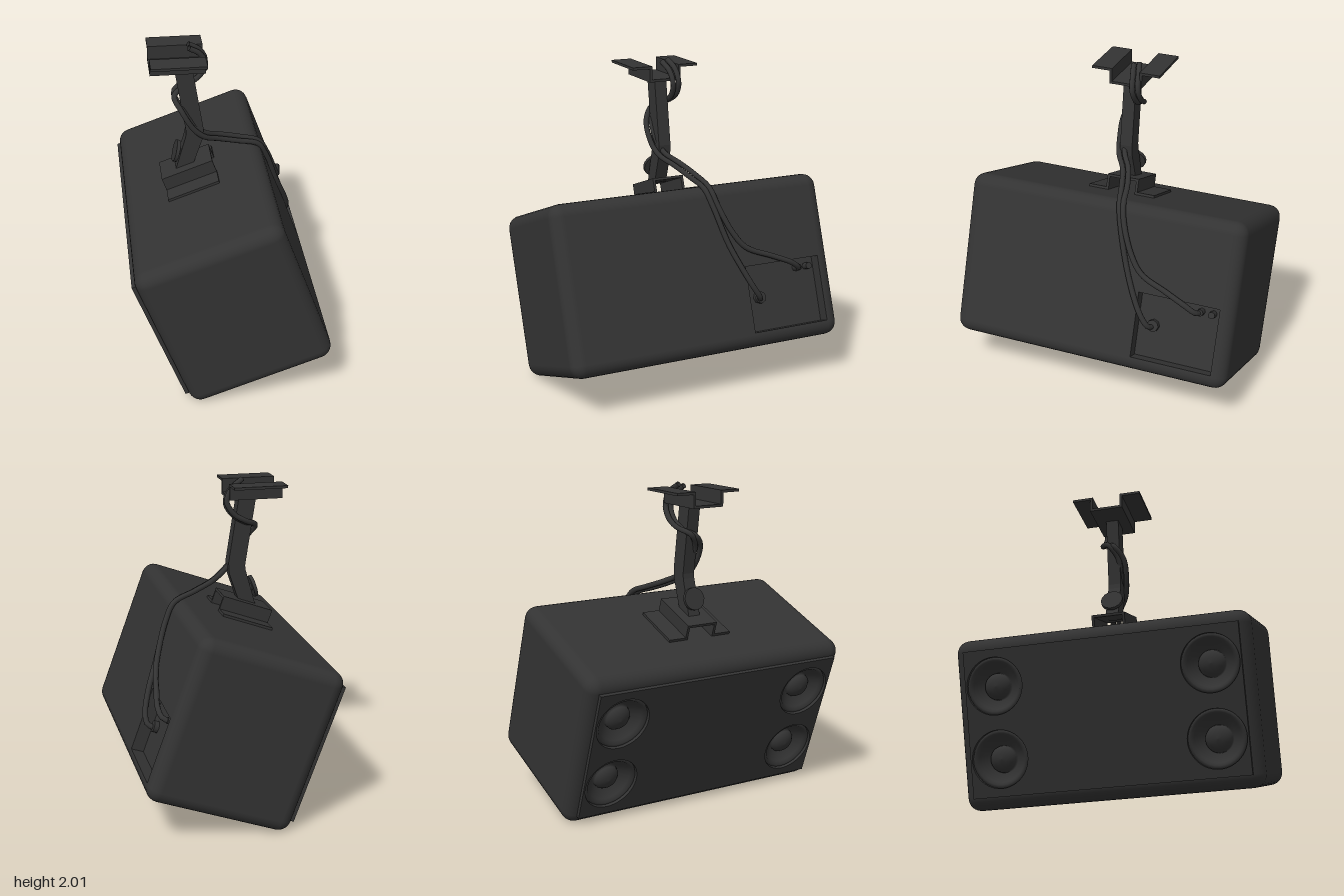
import * as THREE from 'three';
import { RoundedBoxGeometry } from 'three/addons/geometries/RoundedBoxGeometry.js';

const W = 0.93, H = 1.04, L = 1.82, R = 0.08;
const TILT = THREE.MathUtils.degToRad(20);
const black = new THREE.MeshStandardMaterial({ color: 0x333333, side: THREE.DoubleSide });

function add(parent, name, geometry, x = 0, y = 0, z = 0) {
  const mesh = new THREE.Mesh(geometry, black);
  mesh.name = name;
  mesh.position.set(x, y, z);
  parent.add(mesh);
  return mesh;
}

function rectangle(x0, y0, x1, y1, Type = THREE.Shape) {
  return new Type([[x0, y0], [x1, y0], [x1, y1], [x0, y1]].map(p => new THREE.Vector2(...p)));
}

// Rounded box left open on its flat +x and -x faces
function openRoundedBox() {
  const source = new RoundedBoxGeometry(W, H, L, 3, R);
  const p = source.attributes.position, n = source.attributes.normal;
  const pos = [], nor = [];
  for (let i = 0; i < p.count; i += 3) {
    const flat = [0, 1, 2].every(k => Math.abs(p.getX(i + k)) > W / 2 - 1e-4);
    if (flat) continue;
    for (let k = i; k < i + 3; k++) {
      pos.push(p.getX(k), p.getY(k), p.getZ(k));
      nor.push(n.getX(k), n.getY(k), n.getZ(k));
    }
  }
  const g = new THREE.BufferGeometry();
  g.setAttribute('position', new THREE.Float32BufferAttribute(pos, 3));
  g.setAttribute('normal', new THREE.Float32BufferAttribute(nor, 3));
  return g;
}

// Folded channel with flanges on both sides; its section is in (z, y)
function hatChannel(length) {
  const t = 0.016, h = 0.1, a = 0.105, b = 0.22;
  const half = [[b, 0], [b, t], [a, t], [a, h]];
  const inner = [[a - t, h - t], [a - t, 0]];
  const points = [...half, ...half.slice().reverse().map(([z, y]) => [-z, y]),
    ...inner.slice().reverse().map(([z, y]) => [-z, y]), ...inner];
  const shape = new THREE.Shape(points.map(q => new THREE.Vector2(...q)));
  return new THREE.ExtrudeGeometry(shape, { depth: length, bevelEnabled: false })
    .translate(0, 0, -length / 2).rotateY(Math.PI / 2);
}

function cable(parent, name, points) {
  const curve = new THREE.CatmullRomCurve3(points.map(q => new THREE.Vector3(...q)), false, 'centripetal');
  add(parent, name, new THREE.TubeGeometry(curve, 90, 0.017, 8));
}

function buildCabinet() {
  const g = new THREE.Group();
  g.name = 'speakerCabinet';
  add(g, 'cabinetShell', openRoundedBox());

  // Rear face with the connector recess
  const z0 = -0.82, z1 = -0.3, y0 = -0.43, y1 = -0.015, depth = 0.08;
  const rear = rectangle(-(L / 2 - R), -(H / 2 - R), L / 2 - R, H / 2 - R);
  rear.holes.push(rectangle(-z1, y0, -z0, y1, THREE.Path));
  add(g, 'rearFace', new THREE.ShapeGeometry(rear).rotateY(Math.PI / 2), W / 2);
  const cz = (z0 + z1) / 2, cy = (y0 + y1) / 2, u = W / 2 - depth;
  add(g, 'connectorPanel', new THREE.BoxGeometry(0.01, y1 - y0, z1 - z0), u - 0.005, cy, cz);
  for (const s of [-1, 1]) {
    const x = W / 2 - depth / 2;
    add(g, 'recessLedge', new THREE.BoxGeometry(depth, 0.004, z1 - z0), x, cy + s * ((y1 - y0) / 2 + 0.002), cz);
    add(g, 'recessSide', new THREE.BoxGeometry(depth, y1 - y0, 0.004), x, cy, cz + s * ((z1 - z0) / 2 + 0.002));
  }

  // Cable sockets
  for (const [y, z, r, len] of [[-0.22, -0.4, 0.038, 0.03], [-0.07, -0.69, 0.022, 0.05], [-0.07, -0.765, 0.022, 0.05]])
    add(g, 'socket', new THREE.CylinderGeometry(r, r, len, 8).rotateZ(Math.PI / 2), u + len / 2, y, z);

  // Speaker baffle with four driver openings
  const baffle = rectangle(-0.845, -0.445, 0.845, 0.445);
  const centres = [];
  for (const z of [-0.66, 0.66]) for (const y of [-0.22, 0.22]) {
    centres.push([y, z]);
    baffle.holes.push(new THREE.Path().absarc(z, y, 0.175, 0, Math.PI * 2, true));
  }
  const plate = new THREE.ExtrudeGeometry(baffle, { depth: 0.045, bevelEnabled: false, curveSegments: 32 });
  add(g, 'baffle', plate.rotateY(-Math.PI / 2), -0.442);

  // Driver: surround, cone and dust dome
  const profile = [[0.178, 0], [0.172, 0.015], [0.155, 0.02], [0.14, 0], [0.085, -0.06],
    [0.08, -0.03], [0.06, -0.008], [0.03, 0.004], [0, 0.008]].map(q => new THREE.Vector2(...q));
  const driver = new THREE.LatheGeometry(profile, 32).rotateZ(Math.PI / 2);
  for (const [y, z] of centres) add(g, 'driver', driver, -0.455, y, z);

  add(g, 'cabinetBracket', hatChannel(0.335), 0, H / 2, 0);
  g.position.y = 0.625;
  g.rotation.z = TILT;
  return g;
}

export function createModel() {
  const model = new THREE.Group();
  model.name = 'hangingSpeaker';
  model.add(buildCabinet());

  // Ceiling bracket, flanges uppermost
  const ceiling = add(model, 'ceilingBracket', hatChannel(0.335), -0.257, 1.97, 0);
  ceiling.rotation.x = Math.PI;

  // Bent arm between the brackets
  const arm = new THREE.Shape([[-0.275, 1.88], [-0.28, 1.18], [-0.165, 1.18], [-0.105, 1.39], [-0.1, 1.46], [-0.165, 1.88]]
    .map(q => new THREE.Vector2(...q)));
  const bentArm = new THREE.Shape();
  bentArm.setFromPoints([[-0.275, 1.88], [-0.207, 1.44], [-0.21, 1.41], [-0.275, 1.18], [-0.17, 1.2],
    [-0.105, 1.39], [-0.1, 1.46], [-0.165, 1.88]].map(q => new THREE.Vector2(...q)));
  add(model, 'arm', new THREE.ExtrudeGeometry(bentArm, { depth: 0.08, bevelEnabled: false }), 0, 0, -0.04);

  // Pivot knob on the lower arm
  const knob = new THREE.Group();
  knob.name = 'pivotKnob';
  add(knob, 'knobDisc', new THREE.CylinderGeometry(0.07, 0.07, 0.022, 16).rotateZ(Math.PI / 2));
  add(knob, 'knobBolt', new THREE.CylinderGeometry(0.025, 0.025, 0.08, 8).rotateZ(Math.PI / 2), 0.03);
  knob.position.set(-0.268, 1.29, 0);
  knob.rotation.z = -0.27;
  model.add(knob);

  // Two cables wound round the arm and down to the sockets
  const wound = (dy, dz) => [[-0.18, 1.98, -0.03], [-0.11, 1.93, -0.05], [-0.075, 1.85, -0.06], [-0.12, 1.77, -0.065],
    [-0.2, 1.72, -0.055], [-0.275, 1.68, 0], [-0.235, 1.6, 0.055], [-0.16, 1.47, 0.055], [-0.09, 1.4, 0.03],
    [0.0, 1.35, -0.03], [0.13, 1.3, -0.075]].map(([x, y, z]) => [x, y + dy, z + dz]);
  cable(model, 'lowerCable', [...wound(0, 0.012), [0.26, 1.25, -0.1], [0.32, 1.15, -0.13], [0.4, 0.92, -0.2],
    [0.47, 0.74, -0.28], [0.5, 0.63, -0.34], [0.495, 0.57, -0.38], [0.44, 0.54, -0.4]]);
  cable(model, 'upperCable', [...wound(0.012, -0.025), [0.27, 1.255, -0.13], [0.33, 1.15, -0.16], [0.39, 0.99, -0.23],
    [0.425, 0.89, -0.31], [0.455, 0.82, -0.48], [0.475, 0.765, -0.61], [0.46, 0.72, -0.67], [0.4, 0.69, -0.69]]);
  return model;
}
